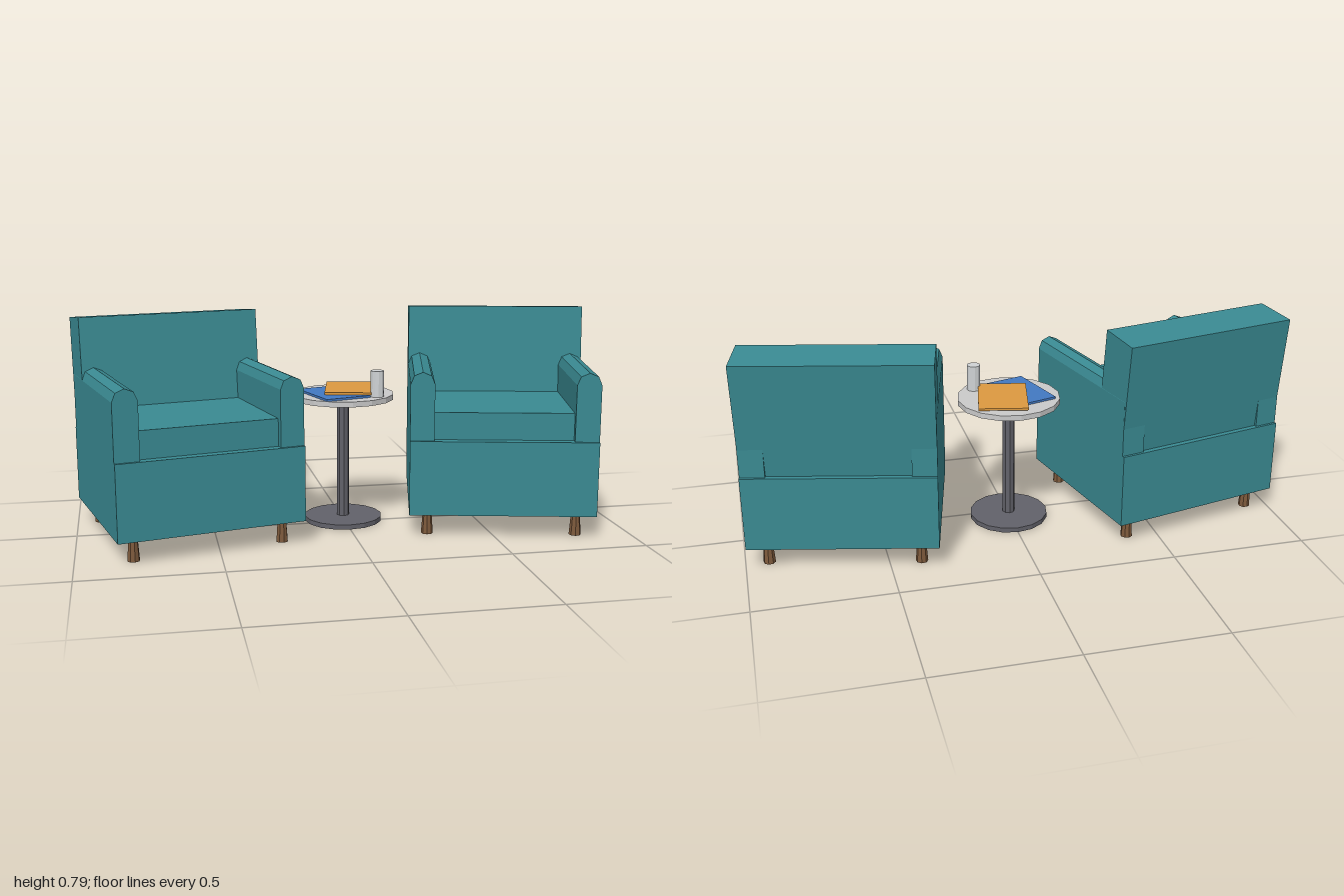
import * as THREE from 'three';

const mat = (color) => new THREE.MeshStandardMaterial({ color, flatShading: true });
const TEAL = mat(0x3a8a92), WOOD = mat(0x7d5a3c), METAL = mat(0x62626a), TOP = mat(0xc4c4c4);
const BLUE = mat(0x4379c2), ORANGE = mat(0xdd9a40), CUP = mat(0xd0d4d6);

function add(parent, name, geometry, material, x, y, z) {
  const mesh = new THREE.Mesh(geometry, material);
  mesh.name = name;
  mesh.position.set(x, y, z);
  parent.add(mesh);
  return mesh;
}

const box = (w, h, d) => new THREE.BoxGeometry(w, h, d);
const tube = (rTop, rBottom, h, sides) => new THREE.CylinderGeometry(rTop, rBottom, h, sides);

// Armrest: upright slab with a half-octagon top
function armGeometry(r, height, depth) {
  const shape = new THREE.Shape();
  shape.moveTo(-r, 0);
  shape.lineTo(r, 0);
  for (let i = 0; i <= 4; i++) {
    const a = (i * Math.PI) / 4;
    shape.lineTo(r * Math.cos(a), height - r + r * Math.sin(a));
  }
  const g = new THREE.ExtrudeGeometry(shape, { depth, bevelEnabled: false });
  return g.translate(0, 0, -depth / 2);
}

function createArmchair() {
  const chair = new THREE.Group();
  add(chair, 'seatBase', box(0.678, 0.275, 0.647), TEAL, 0, 0.2225, 0);
  add(chair, 'seatCushion', box(0.504, 0.1, 0.44), TEAL, 0, 0.41, 0.069);
  // Backrest leaning slightly backwards
  add(chair, 'backrest', box(0.677, 0.44, 0.165), TEAL, 0, 0.566, -0.241).rotation.x = -0.097;
  for (const s of [-1, 1]) {
    add(chair, 'armrest', armGeometry(0.044, 0.25, 0.628), TEAL, s * 0.295, 0.36, 0);
    // Short legs, wider at the floor
    for (const f of [-1, 1]) {
      add(chair, 'leg', tube(0.016, 0.022, 0.085, 8), WOOD, s * 0.272, 0.0425, f * 0.258);
    }
  }
  return chair;
}

function createTable() {
  const table = new THREE.Group();
  table.name = 'sideTable';
  table.position.z = -0.037;
  add(table, 'tableFoot', tube(0.147, 0.147, 0.018, 16), METAL, 0, 0.009, 0);
  add(table, 'tablePost', tube(0.023, 0.023, 0.46, 8), METAL, 0, 0.247, 0);
  add(table, 'tableTop', tube(0.191, 0.191, 0.02, 16), TOP, 0, 0.483, 0);
  return table;
}

export function createModel() {
  const model = new THREE.Group();
  model.name = 'loungeSet';

  // Two armchairs turned towards each other
  for (const s of [-1, 1]) {
    const chair = createArmchair();
    chair.name = s > 0 ? 'leftArmchair' : 'rightArmchair';
    chair.position.set(s * 0.593, 0, 0.01);
    chair.rotation.y = -s * 0.226;
    model.add(chair);
  }

  model.add(createTable());

  // Things lying on the table
  add(model, 'lowerMagazine', box(0.18, 0.008, 0.245), BLUE, -0.04, 0.497, -0.013).rotation.y = 0.29;
  add(model, 'upperMagazine', box(0.18, 0.008, 0.245), ORANGE, 0.03, 0.505, -0.067).rotation.y = -0.21;
  add(model, 'cup', tube(0.025, 0.025, 0.097, 12), CUP, 0.11, 0.5415, 0.062);

  return model;
}
